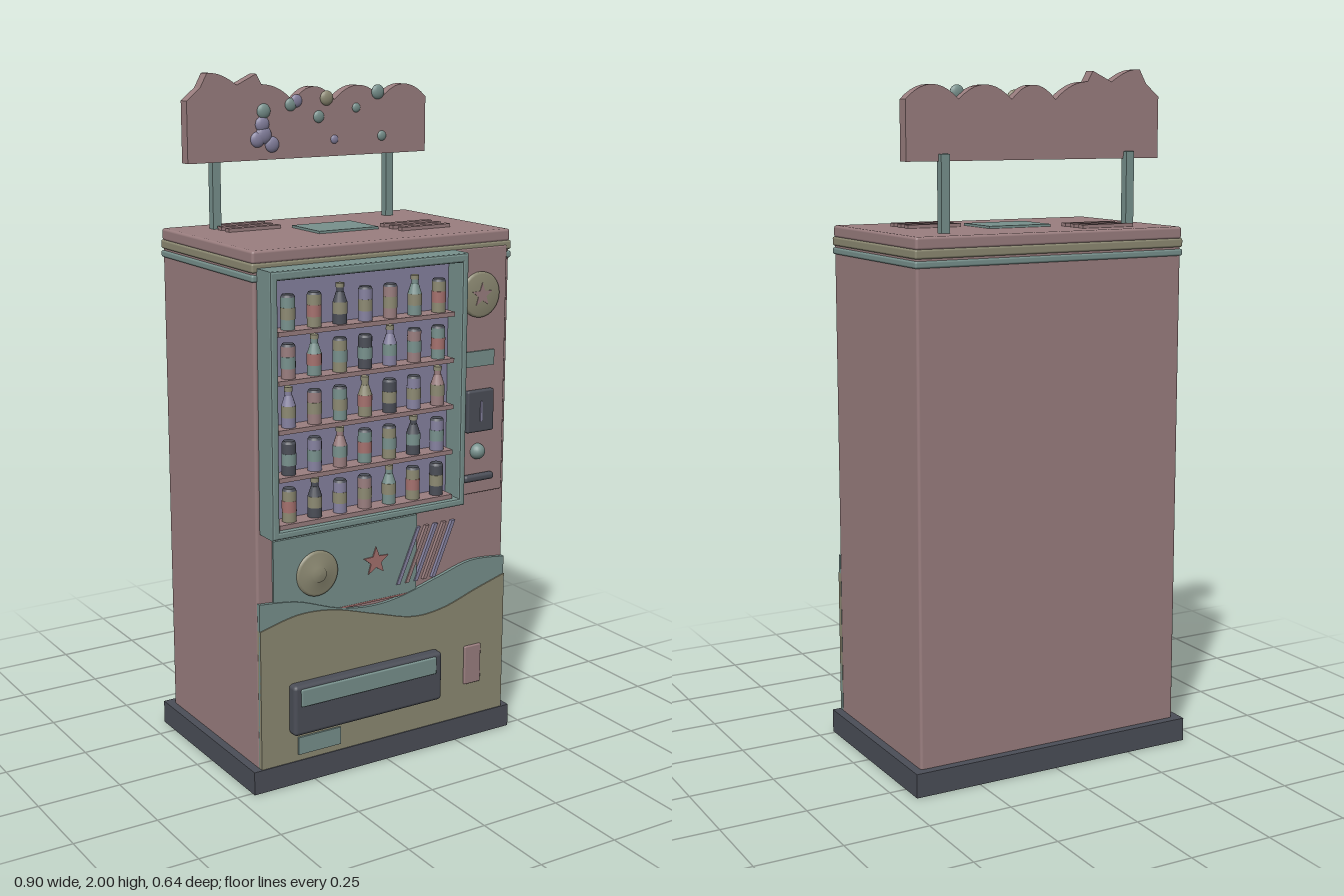
import * as THREE from 'three';
import { RoundedBoxGeometry } from 'three/addons/geometries/RoundedBoxGeometry.js';

const mat = (name, color) => Object.assign(new THREE.MeshStandardMaterial({ color }), { name });
const pink = mat('dusty pink', 0x9a7e7f);
const teal = mat('sea teal', 0x78918d);
const tan = mat('sand', 0x8d8a73);
const dark = mat('charcoal', 0x4b4e57);
const purple = mat('lavender', 0x8682a0);
const coral = mat('coral', 0xa5716e);

export function createModel() {
  const root = new THREE.Group();
  const group = (name) => {
    const g = new THREE.Group();
    g.name = name;
    root.add(g);
    return g;
  };
  const add = (parent, name, geo, material, x = 0, y = 0, z = 0) => {
    const m = new THREE.Mesh(geo, material);
    m.name = name;
    m.position.set(x, y, z);
    parent.add(m);
    return m;
  };
  // Box given by its limits; r rounds the edges
  const box = (parent, name, material, x0, x1, y0, y1, z0, z1, r = 0) => {
    const s = [x1 - x0, y1 - y0, z1 - z0];
    const geo = r ? new RoundedBoxGeometry(...s, 2, r) : new THREE.BoxGeometry(...s);
    return add(parent, name, geo, material, (x0 + x1) / 2, (y0 + y1) / 2, (z0 + z1) / 2);
  };
  const extrude = (shape, depth, bevel = 0) => new THREE.ExtrudeGeometry(shape, {
    depth, curveSegments: 10, bevelEnabled: bevel > 0, bevelSize: bevel,
    bevelThickness: bevel, bevelOffset: -bevel, bevelSegments: 2,
  });
  const rect = (x0, x1, y0, y1, Type = THREE.Shape) => new Type([
    [x0, y0], [x1, y0], [x1, y1], [x0, y1]].map((p) => new THREE.Vector2(...p)));
  const star = (r) => new THREE.Shape(Array.from({ length: 10 }, (_, i) => {
    const a = Math.PI / 2 + i * Math.PI / 5, q = i % 2 ? r * 0.42 : r;
    return new THREE.Vector2(Math.cos(a) * q, Math.sin(a) * q);
  }));
  // Shallow round button facing the front
  const disc = (parent, name, x, y, z, points) => {
    const geo = new THREE.LatheGeometry(points.map((p) => new THREE.Vector2(...p)), 32);
    return add(parent, name, geo.rotateX(Math.PI / 2), tan, x, y, z);
  };

  // Cabinet
  const cabinet = group('cabinet');
  box(cabinet, 'base', dark, -0.45, 0.45, 0, 0.07, -0.323, 0.263);
  box(cabinet, 'body', pink, -0.425, 0.425, 0.06, 1.53, -0.298, 0.245, 0.008);
  box(cabinet, 'topSlab', pink, -0.427, 0.427, 1.52, 1.556, -0.3, 0.246, 0.008);
  box(cabinet, 'sandTrim', tan, -0.43, 0.43, 1.497, 1.523, -0.302, 0.249, 0.006);
  box(cabinet, 'tealTrim', teal, -0.43, 0.43, 1.472, 1.492, -0.302, 0.249, 0.006);

  // Roof hatch and vents
  const roof = group('roof');
  box(roof, 'hatch', teal, -0.1, 0.1, 1.55, 1.563, -0.108, 0.048);
  for (let i = 0; i < 3; i++) {
    const a = -0.217 + i * 0.047, b = 0.017 + i * 0.047;
    box(roof, 'vent', pink, -0.305, -0.135, 1.55, 1.566, a - 0.011, a + 0.011);
    box(roof, 'vent', pink, 0.132, 0.301, 1.55, 1.566, b - 0.011, b + 0.011);
  }

  // Sign: rock peaks on one end, rolling scallops on the other
  const sign = group('sign');
  for (const x of [-0.3, 0.295])
    box(sign, 'post', teal, x - 0.013, x + 0.013, 1.55, 1.77, -0.217, -0.192);
  const s = new THREE.Shape();
  s.moveTo(-0.405, 1.75);
  s.lineTo(0.405, 1.75);
  s.lineTo(0.405, 1.915);
  for (const [x, c] of [[0.245, 0.325], [0.08, 0.163], [-0.06, 0.01]])
    s.quadraticCurveTo(c, 1.995, x, 1.915);
  s.quadraticCurveTo(-0.11, 1.965, -0.165, 1.965);
  s.lineTo(-0.182, 1.995);
  s.lineTo(-0.245, 1.965);
  s.quadraticCurveTo(-0.3, 2.005, -0.34, 2);
  s.lineTo(-0.362, 1.96);
  s.lineTo(-0.405, 1.925);
  add(sign, 'signBoard', extrude(s, 0.036), pink, 0, 0, -0.2);
  const beads = [
    [-0.159, 1.889, 0.022, teal], [-0.069, 1.905, 0.019, teal], [-0.05, 1.915, 0.019, purple],
    [0.053, 1.92, 0.022, tan], [0.026, 1.867, 0.018, teal], [0.156, 1.889, 0.014, teal],
    [0.232, 1.933, 0.022, teal], [0.247, 1.803, 0.015, teal], [0.08, 1.799, 0.013, purple],
    [-0.164, 1.852, 0.023, purple], [-0.18, 1.809, 0.023, purple],
    [-0.16, 1.821, 0.026, purple], [-0.132, 1.793, 0.023, purple],
  ];
  for (const [x, y, r, m] of beads)
    add(sign, 'bead', new THREE.SphereGeometry(r, 16, 12), m, x, y, -0.164).scale.z = 0.45;

  // Display case with shelves
  const display = group('displayCase');
  const frame = rect(-0.415, 0.227, 0.77, 1.51);
  frame.holes.push(rect(-0.392, 0.207, 0.792, 1.484, THREE.Path));
  add(display, 'caseFrame', extrude(frame, 0.067, 0.006), teal, 0, 0, 0.248);
  box(display, 'caseBack', purple, -0.4, 0.215, 0.78, 1.495, 0.24, 0.25);

  // Cans and bottles, standing at y = 0
  const tube = (parent, name, m, r0, r1, y0, y1) => add(parent, name,
    new THREE.CylinderGeometry(r1, r0, y1 - y0, 16), m, 0, (y0 + y1) / 2, 0);
  const paints = [teal, purple, tan, pink, dark];
  const drink = (kind, i) => {
    const g = new THREE.Group(), main = paints[i % 5], label = paints[(i * 2 + 2) % 4];
    g.name = kind;
    tube(g, 'lower', main, 0.02, 0.02, 0, 0.028);
    tube(g, 'label', label === main ? coral : label, 0.0208, 0.0208, 0.028, 0.06);
    if (kind === 'bottle') {
      tube(g, 'shoulder', main, 0.02, 0.011, 0.06, 0.088);
      tube(g, 'neck', main, 0.01, 0.01, 0.088, 0.1);
      tube(g, 'cap', tan, 0.012, 0.012, 0.1, 0.112);
    } else {
      tube(g, 'upper', main, 0.02, 0.02, 0.06, 0.088);
      tube(g, 'lid', dark, 0.02, 0.016, 0.088, 0.095);
    }
    return g;
  };
  [1.338, 1.204, 1.068, 0.934, 0.8].forEach((y, row) => {
    box(display, 'shelf', pink, -0.385, 0.19, y - 0.007, y + 0.006, 0.248, 0.308);
    for (let c = 0; c < 7; c++) {
      const d = drink((c + row) % 3 === 2 ? 'bottle' : 'can', c * 2 + row * 3);
      d.position.set(-0.339 + c * 0.082, y + 0.006, 0.279);
      display.add(d);
    }
  });

  // Control panel
  const controls = group('controlPanel');
  box(controls, 'panel', pink, 0.23, 0.412, 0.775, 1.51, 0.24, 0.252, 0.004);
  disc(controls, 'medallion', 0.317, 1.374, 0.252,
    [[0.067, 0], [0.067, 0.005], [0.06, 0.009], [0.03, 0.012], [0, 0.013]]);
  add(controls, 'medallionStar', extrude(star(0.036), 0.004), pink, 0.317, 1.374, 0.262);
  box(controls, 'screen', teal, 0.265, 0.37, 1.162, 1.208, 0.25, 0.258);
  box(controls, 'billReader', dark, 0.27, 0.365, 0.967, 1.093, 0.25, 0.27, 0.006);
  box(controls, 'billSlot', purple, 0.314, 0.32, 1.0, 1.06, 0.268, 0.273);
  add(controls, 'knob', new THREE.SphereGeometry(0.024, 20, 14), teal, 0.317, 0.905, 0.254);
  box(controls, 'coinTray', dark, 0.264, 0.37, 0.816, 0.838, 0.25, 0.272, 0.009);

  // Middle plate with button, star and slanted stripes
  const middle = group('middlePlate');
  box(middle, 'plate', teal, -0.376, 0.106, 0.507, 0.743, 0.243, 0.252);
  box(middle, 'plateEdge', coral, -0.165, 0.08, 0.503, 0.508, 0.243, 0.253);
  disc(middle, 'roundButton', -0.235, 0.626, 0.252,
    [[0.067, 0], [0.067, 0.005], [0.06, 0.008], [0.024, 0.013], [0.022, 0.018], [0, 0.019]]);
  add(middle, 'starBadge', extrude(star(0.044), 0.004), coral, -0.037, 0.626, 0.252);
  for (let i = 0; i < 5; i++) {
    const x = 0.035 + i * 0.031, w = 0.012, t = 0.07;
    const stripe = new THREE.Shape([[x, 0.54], [x + w, 0.54], [x + w + t, 0.705], [x + t, 0.705]]
      .map((p) => new THREE.Vector2(...p)));
    add(middle, 'stripe', extrude(stripe, 0.012), [purple, pink][i % 2], 0, 0, 0.244);
  }

  // Wave and sand panels across the lower front
  const lower = group('lowerFront');
  const wavePanel = (name, m, depth, points) => {
    const shape = new THREE.Shape();
    shape.moveTo(-0.424, 0.07);
    shape.lineTo(0.424, 0.07);
    shape.lineTo(...points[0]);
    shape.splineThru(points.slice(1).map((p) => new THREE.Vector2(...p)));
    add(lower, name, extrude(shape, depth), m, 0, 0, 0.243);
  };
  wavePanel('wave', teal, 0.013, [[0.424, 0.56], [0.3, 0.568], [0.18, 0.537], [0.05, 0.502],
    [-0.06, 0.493], [-0.17, 0.51], [-0.3, 0.553], [-0.424, 0.568]]);
  wavePanel('sandPanel', tan, 0.017, [[0.424, 0.505], [0.32, 0.475], [0.2, 0.438], [0.09, 0.432],
    [-0.04, 0.467], [-0.18, 0.507], [-0.3, 0.515], [-0.424, 0.488]]);

  // Pick-up tray and small plates
  box(lower, 'pickupTray', dark, -0.333, 0.178, 0.16, 0.313, 0.25, 0.292, 0.012);
  box(lower, 'pickupFlap', teal, -0.312, 0.153, 0.25, 0.303, 0.28, 0.298, 0.004);
  box(lower, 'infoPlate', teal, -0.305, -0.164, 0.09, 0.143, 0.255, 0.266);
  box(lower, 'sidePlate', pink, 0.278, 0.338, 0.175, 0.298, 0.255, 0.267, 0.004);

  return root;
}
